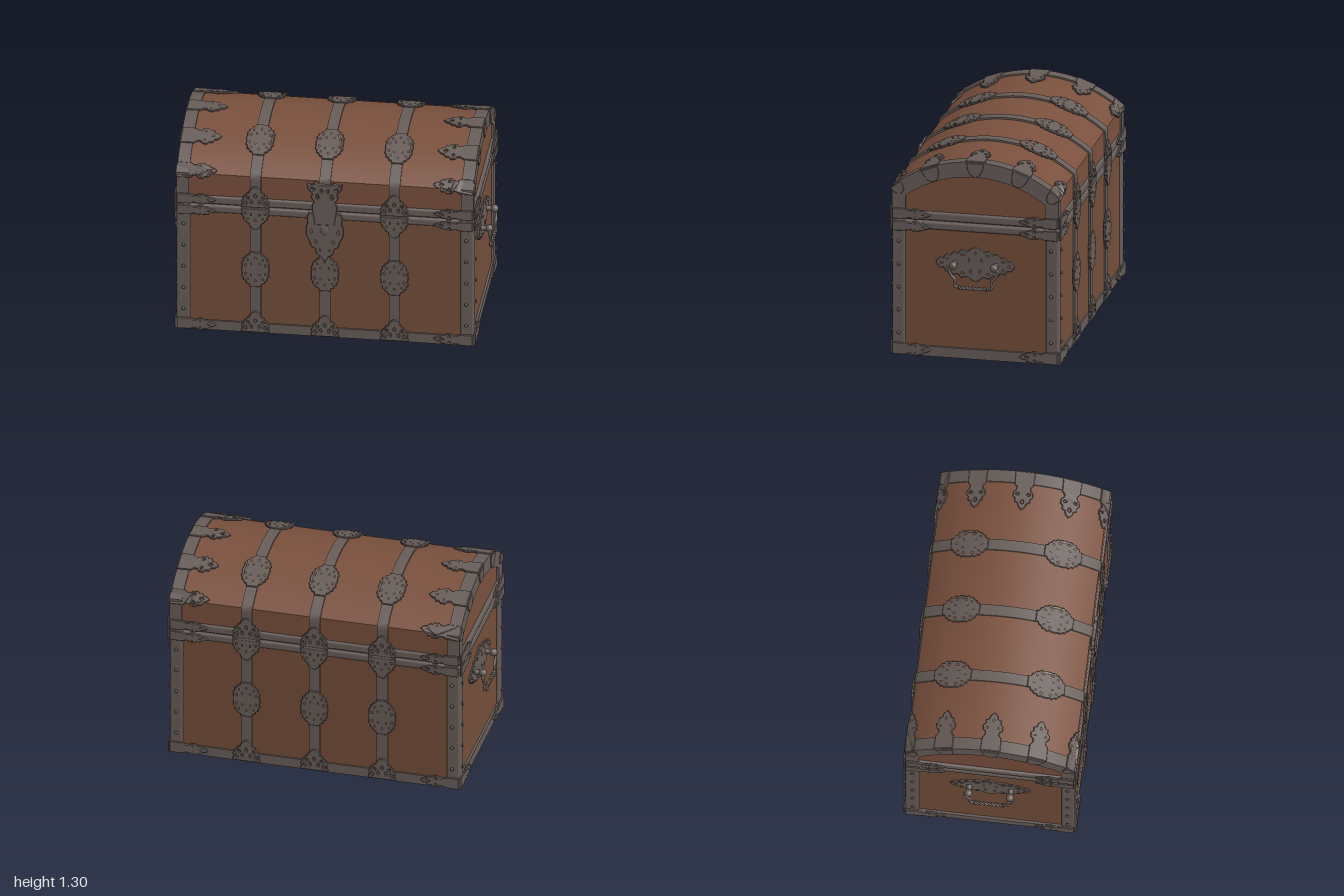
import * as THREE from 'three';
import { toCreasedNormals } from 'three/addons/utils/BufferGeometryUtils.js';
import { RoundedBoxGeometry } from 'three/addons/geometries/RoundedBoxGeometry.js';

const flat = (name, color) => Object.assign(new THREE.MeshStandardMaterial({ color }), { name });
const bodyWood = flat('bodyWood', 0x744e3a);
const lidWood = flat('lidWood', 0x7a503d);
const iron = flat('iron', 0x675d59);

// Chest half sizes and the lid's arc
const HX = 0.93, HZ = 0.53, WX = 0.915, WZ = 0.52;
const CY = 0.456, R = 0.824, EDGE = Math.asin(WZ / R), SMAX = R * EDGE;
const STRAPS = [-0.435, 0, 0.435];

function add(parent, name, geo, mat, x = 0, y = 0, z = 0) {
  const m = new THREE.Mesh(geo, mat);
  m.name = name;
  m.position.set(x, y, z);
  parent.add(m);
  return m;
}

// Wraps a flat piece (x, -arc length from the ridge, height) over the lid
function wrapLid(geo) {
  const p = geo.attributes.position;
  for (let i = 0; i < p.count; i++) {
    const s = -p.getY(i), w = p.getZ(i), side = Math.sign(s), over = Math.abs(s) - SMAX;
    if (over <= 0) p.setXYZ(i, p.getX(i), CY + (R + w) * Math.cos(s / R), (R + w) * Math.sin(s / R));
    else p.setXYZ(i, p.getX(i), CY + R * Math.cos(EDGE) - over + w * 0.4 * Math.max(0, 1 - over / 0.03), side * (WZ + w));
  }
  geo.computeVertexNormals();
  return geo;
}

// Thin bevelled plate from an outline and elliptical piercings [x, y, rx, ry]
function plate(points, holes = [], depth = 0.008) {
  const shape = new THREE.Shape(points.map(([x, y]) => new THREE.Vector2(x, y)));
  for (const [x, y, rx, ry] of holes) {
    const h = new THREE.Path();
    h.absellipse(x, y, rx, ry, 0, Math.PI * 2, true);
    shape.holes.push(h);
  }
  return new THREE.ExtrudeGeometry(shape, {
    depth, curveSegments: 5, bevelEnabled: true, bevelSegments: 1,
    bevelSize: 0.003, bevelOffset: -0.003, bevelThickness: 0.003,
  });
}

const mirrorX = (half) => [...half, ...half.slice().reverse().map(([x, y]) => [-x, y])];
const mirrorHoles = (list) => list.flatMap(([x, y, a, b]) => [[x, y, a, b], [-x, y, a, b]]);

// Lobed strap ornament: full, or one half pointing up (1) or down (-1)
const LOBES = [[0.087, 0.012], [0.082, 0.03], [0.088, 0.045], [0.074, 0.06], [0.077, 0.074],
  [0.06, 0.084], [0.056, 0.098], [0.04, 0.104], [0.035, 0.122]];
function ornament(dir = 0) {
  const holes = mirrorHoles([[0.062, 0.03, 0.009, 0.013], [0.047, 0.068, 0.008, 0.01], [0.026, 0.04, 0.007, 0.012]]);
  const crown = [0, 0.08, 0.008, 0.012];
  if (dir) {
    const up = [[0.09, 0], ...LOBES, [0.012, 0.145], [0, 0.152]];
    return plate(mirrorX(up.slice(0, -1)).map(([x, y]) => [x, y * dir]),
      [...holes, crown].map(([x, y, a, b]) => [x, y * dir, a, b]));
  }
  const side = [...LOBES.slice().reverse().map(([x, y]) => [x, -y]), ...LOBES].reverse();
  const all = [...holes, crown];
  return plate(mirrorX(side), [...all, ...all.map(([x, y, a, b]) => [x, -y, a, b])]);
}

// Leaf-ended clasp running from u = 0 in the direction dir
function claw(len, hw, dir) {
  const top = [[0, 1], [0.34, 0.95], [0.42, 0.68], [0.5, 0.72], [0.55, 0.98], [0.66, 1], [0.72, 0.75],
    [0.8, 0.78], [0.84, 0.45], [0.93, 0.35], [1, 0.06]];
  const all = [...top, ...top.slice().reverse().map(([u, v]) => [u, -v])];
  const holes = [[0.6, 0.55, 0.03, 0.18], [0.6, -0.55, 0.03, 0.18], [0.8, 0, 0.05, 0.16]];
  return plate(all.map(([u, v]) => [u * len * dir, v * hw]),
    holes.map(([u, v, a, b]) => [u * len * dir, v * hw, a * len, b * hw]));
}

// Arched profile of the lid, open ended at the base
function archPoints(r, hz, base, n = 40) {
  const a = Math.asin(hz / r), pts = [[hz, base]];
  for (let i = 0; i <= n; i++) {
    const t = a - (2 * a * i) / n;
    pts.push([r * Math.sin(t), CY + r * Math.cos(t)]);
  }
  return [...pts, [-hz, base]];
}
function extrudeAlongX(points, depth, x) {
  const shape = new THREE.Shape(points.map(([z, y]) => new THREE.Vector2(-z, y)));
  const geo = new THREE.ExtrudeGeometry(shape, { depth, bevelEnabled: false });
  geo.rotateY(Math.PI / 2).translate(x, 0, 0);
  return toCreasedNormals(geo, 0.5);
}

// Rivets, corner clasps and (for long sides) straps shared by every wall
function dressWall(wall, halfWidth) {
  for (const s of [-1, 1]) {
    for (let i = 0; i < 5; i++) {
      const rivet = new THREE.SphereGeometry(0.012, 10, 6).scale(1, 1, 0.6);
      add(wall, 'rivet', rivet, iron, s * (halfWidth - 0.045), 0.145 + i * 0.15, 0.01);
    }
    for (const [y, hw] of [[0.041, 0.039], [0.846, 0.033], [0.925, 0.035]])
      add(wall, 'cornerClasp', claw(0.245, hw, -s), iron, s * (halfWidth - 0.003), y, y < 0.1 ? 0.001 : 0.005);
  }
}

function addHandle(wall) {
  const handle = new THREE.Group();
  handle.name = 'handle';
  handle.position.set(0, 0.62, -0.013);
  wall.add(handle);
  // Pierced backplate
  const q = [[0.25, 0.006], [0.225, 0.035], [0.205, 0.03], [0.185, 0.058], [0.16, 0.05], [0.14, 0.075],
    [0.11, 0.068], [0.09, 0.092], [0.05, 0.082], [0.03, 0.1], [0.006, 0.112]];
  const right = [...q.slice().reverse(), ...q.map(([x, y]) => [x, -y])];
  const holes = [[0.215, 0, 0.014, 0.01], [0.178, 0.028, 0.013, 0.01], [0.178, -0.028, 0.013, 0.01],
    [0.08, 0.06, 0.017, 0.009], [0.08, -0.06, 0.017, 0.009], [0.04, 0.03, 0.008, 0.016], [0.03, -0.045, 0.009, 0.016]];
  add(handle, 'handlePlate', plate(mirrorX(right), [...mirrorHoles(holes), [0, 0.075, 0.008, 0.015]]), iron);
  for (const s of [-1, 1]) {
    const post = new THREE.CylinderGeometry(0.011, 0.02, 0.06, 12).rotateX(Math.PI / 2);
    add(handle, 'handlePost', post, iron, s * 0.13, 0, 0.03);
    add(handle, 'handleKnob', new THREE.SphereGeometry(0.025, 16, 12), iron, s * 0.13, 0, 0.06);
    const arm = new THREE.CatmullRomCurve3([[0.13, 0, 0.06], [0.155, -0.02, 0.066], [0.14, -0.06, 0.068],
      [0.115, -0.09, 0.068], [0.12, -0.125, 0.068], [0.1, -0.138, 0.068]].map(([x, y, z]) => new THREE.Vector3(s * x, y, z)));
    add(handle, 'handleArm', new THREE.TubeGeometry(arm, 24, 0.009, 8), iron);
    add(handle, 'handleCollar', new THREE.SphereGeometry(0.015, 12, 8).scale(0.55, 1.1, 1.1), iron, s * 0.09, -0.138, 0.068);
  }
  // Twisted grip
  for (const phase of [0, Math.PI]) {
    const pts = Array.from({ length: 49 }, (_, i) => {
      const t = (i / 48) * Math.PI * 8 + phase;
      return new THREE.Vector3(-0.095 + (0.19 * i) / 48, -0.138 + 0.006 * Math.cos(t), 0.068 + 0.006 * Math.sin(t));
    });
    add(handle, 'twistedGrip', new THREE.TubeGeometry(new THREE.CatmullRomCurve3(pts), 90, 0.007, 6), iron);
  }
}

export function createModel() {
  const chest = new THREE.Group();
  chest.name = 'chest';

  // Wooden body and lid
  add(chest, 'body', new THREE.BoxGeometry(WX * 2, 0.87, WZ * 2), bodyWood, 0, 0.443, 0);
  add(chest, 'lid', extrudeAlongX(archPoints(R, WZ, 0.885), WX * 2, -WX), lidWood);

  // Base frame, open beneath, with corner gussets
  const frame = new THREE.Shape([[-HX, -HZ], [HX, -HZ], [HX, HZ], [-HX, HZ]].map((p) => new THREE.Vector2(...p)));
  frame.holes.push(new THREE.Path([[-0.895, -0.495], [-0.895, 0.495], [0.895, 0.495], [0.895, -0.495]].map((p) => new THREE.Vector2(...p))));
  const frameGeo = new THREE.ExtrudeGeometry(frame, { depth: 0.065, bevelEnabled: false }).rotateX(-Math.PI / 2);
  add(chest, 'baseFrame', frameGeo, iron);
  for (const sx of [-1, 1]) for (const sz of [-1, 1]) {
    const gusset = plate([[0.91, 0.51], [0.74, 0.51], [0.76, 0.46], [0.82, 0.42], [0.84, 0.36], [0.91, 0.34]]
      .map(([x, y]) => [x * sx, y * sz]), [], 0.004).rotateX(-Math.PI / 2);
    add(chest, 'baseGusset', gusset, iron, 0, 0.004, 0);
    add(chest, 'cornerPost', new RoundedBoxGeometry(0.083, 0.8, 0.083, 3, 0.012), iron, sx * (HX - 0.0415), 0.44, sz * (HZ - 0.0415));
  }

  // Rounded rails either side of the opening
  add(chest, 'bodyRail', new RoundedBoxGeometry(HX * 2 + 0.006, 0.053, HZ * 2 + 0.008, 4, 0.016), iron, 0, 0.8555, 0);
  add(chest, 'lidRail', new RoundedBoxGeometry(HX * 2 + 0.006, 0.057, HZ * 2 + 0.008, 4, 0.016), iron, 0, 0.9165, 0);

  // Front and back walls
  for (const f of [1, -1]) {
    const wall = new THREE.Group();
    wall.name = f > 0 ? 'frontWall' : 'backWall';
    wall.position.z = f * HZ;
    wall.rotation.y = f > 0 ? 0 : Math.PI;
    chest.add(wall);
    dressWall(wall, HX);
    for (const x of STRAPS) {
      add(wall, 'strap', new THREE.BoxGeometry(0.07, 0.8, 0.016), iron, x, 0.43, -0.006);
      add(wall, 'strapOrnament', ornament(), iron, x, 0.45, 0);
      add(wall, 'footOrnament', ornament(1), iron, x, 0.008, 0.002);
      if (f > 0 && x === 0) continue;
      add(wall, 'lowerRimOrnament', ornament(-1), iron, x, 0.88, 0.004);
      add(wall, 'upperRimOrnament', ornament(1), iron, x, 0.89, 0.004);
      const barrel = new THREE.CylinderGeometry(0.011, 0.011, 0.13, 12).rotateZ(Math.PI / 2);
      if (f < 0) add(wall, 'hingeBarrel', barrel, iron, x, 0.885, 0.008);
    }
    if (f < 0) continue;
    // Lock plate and hasp
    const lock = [[0.1, 0.88], [0.112, 0.84], [0.106, 0.81], [0.118, 0.77], [0.115, 0.72], [0.095, 0.68],
      [0.085, 0.645], [0.06, 0.63], [0.05, 0.59], [0.025, 0.575], [0.006, 0.545]];
    const lockHoles = mirrorHoles([[0.085, 0.75, 0.01, 0.02], [0.055, 0.68, 0.012, 0.016], [0.03, 0.62, 0.007, 0.014]]);
    add(wall, 'lockPlate', plate(mirrorX(lock), lockHoles, 0.012), iron, 0, 0, 0.002);
    const hasp = [[0.06, 0.8], [0.075, 0.89], [0.08, 0.93], [0.065, 0.96], [0.085, 0.99], [0.078, 1.02],
      [0.105, 1.05], [0.11, 1.085], [0.085, 1.075], [0.06, 1.095], [0.03, 1.08]];
    const haspHoles = mirrorHoles([[0.075, 1.05, 0.012, 0.01], [0.045, 1.0, 0.008, 0.018], [0.02, 1.04, 0.007, 0.014]]);
    add(wall, 'hasp', plate(mirrorX(hasp), haspHoles, 0.018), iron, 0, 0, 0.001);
    const boss = new THREE.SphereGeometry(0.03, 16, 10).scale(1, 1.2, 0.3);
    add(wall, 'lockBoss', boss, iron, 0, 0.76, 0.014);
  }

  // End walls with drop handles
  for (const s of [1, -1]) {
    const wall = new THREE.Group();
    wall.name = s > 0 ? 'leftEnd' : 'rightEnd';
    wall.position.x = s * HX;
    wall.rotation.y = s * Math.PI / 2;
    chest.add(wall);
    dressWall(wall, HZ);
    addHandle(wall);

    // Iron arch on the lid's end, with tongues and clasps
    const arch = [...archPoints(0.834, HZ, 0.93), ...archPoints(0.735, 0.445, 0.93).reverse()];
    add(chest, 'lidArch', extrudeAlongX(arch, 0.078, s > 0 ? HX - 0.078 : -HX), iron);
    for (const a of [-0.66, -0.36, 0, 0.36, 0.66]) {
      const small = Math.abs(a) > 0.5 ? 0.75 : 1;
      const tongue = plate(mirrorX([[0.055, 0], [0.05, -0.04], [0.035, -0.075], [0.012, -0.09]]
        .map(([x, y]) => [x * small, y * small])), [], 0.004);
      tongue.translate(0, 0.829, 0).rotateZ(a);
      add(wall, 'archTongue', tongue, iron, 0, CY, 0);
      const clasp = claw(0.25, 0.062 * small, -s).translate(s * (HX - 0.002), a * R, 0.007);
      add(chest, 'lidClasp', wrapLid(clasp), iron);
    }
  }

  // Straps over the lid
  for (const x of STRAPS) {
    const strap = new THREE.BoxGeometry(0.07, (SMAX + 0.16) * 2, 0.014, 1, 72, 1).translate(x, 0, 0.004);
    add(chest, 'lidStrap', wrapLid(strap), iron);
    for (const s of [-1, 1])
      add(chest, 'lidOrnament', wrapLid(ornament().translate(x, s * 0.296, 0.009)), iron);
  }
  return chest;
}
